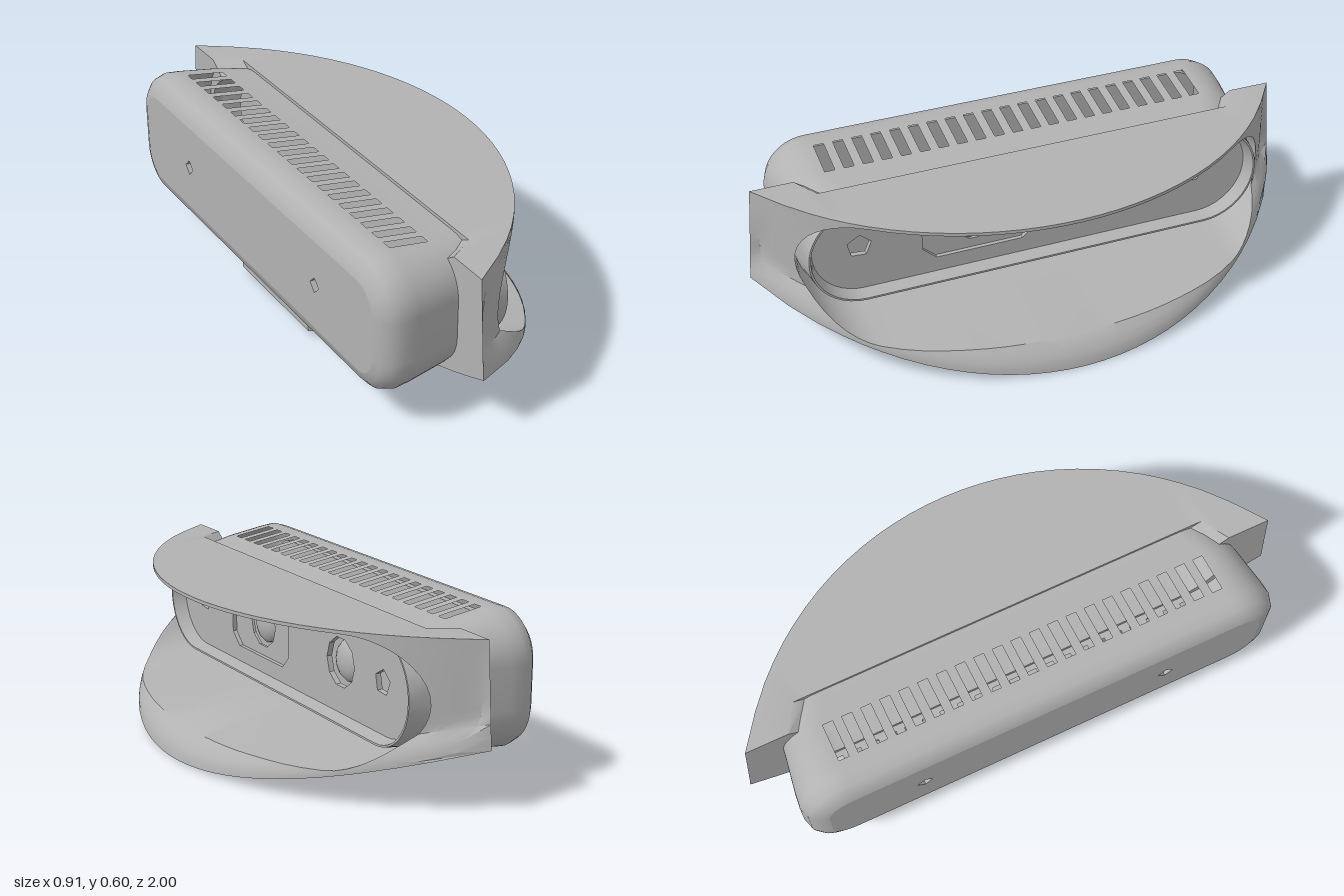
import * as THREE from 'three';
import { toCreasedNormals } from 'three/addons/utils/BufferGeometryUtils.js';

const grey = new THREE.MeshStandardMaterial({ color: 0xb2b2b2, side: THREE.DoubleSide });
grey.name = 'grey plastic';

const CY = 0.355;   // height of the camera axis

function add(group, name, geometry) {
  const mesh = new THREE.Mesh(geometry, grey);
  mesh.name = name;
  group.add(mesh);
  return mesh;
}

// Joins rings of [x, y, z] points into a skin; skip(i, j) leaves openings
function loft(rings, closeEnds, skip = () => false) {
  const n = rings[0].length, index = [];
  const last = closeEnds ? rings.length : rings.length - 1;
  for (let i = 0; i < last; i++) {
    for (let j = 0; j < n; j++) {
      if (skip(i, j)) continue;
      const i2 = (i + 1) % rings.length, j2 = (j + 1) % n;
      const a = i * n + j, b = i * n + j2, c = i2 * n + j2, d = i2 * n + j;
      index.push(a, b, c, a, c, d);
    }
  }
  const g = new THREE.BufferGeometry();
  g.setAttribute('position', new THREE.Float32BufferAttribute(rings.flat(2), 3));
  g.setIndex(index);
  return toCreasedNormals(g, 0.6);
}

// Vent slot edges as fractions of the straight run
const SLOTS = 21, STRAIGHT = 0.715;
const edges = [-1];
for (let k = 0; k < SLOTS; k++) {
  const z = (k - (SLOTS - 1) / 2) * 0.0685;
  edges.push((z - 0.018) / STRAIGHT, (z + 0.018) / STRAIGHT);
}
edges.push(1);
const ARC = 10;

// Rounded loop of [z, y]: straight half length L, corner radius r, flat half height f
function loop(L, r, f) {
  const pts = edges.map(e => [e * L, CY - f - r]);
  const corner = (cz, cy, start) => {
    for (let k = 1; k <= ARC; k++) {
      const t = start + (k / ARC) * Math.PI / 2;
      pts.push([cz + r * Math.cos(t), cy + r * Math.sin(t)]);
    }
  };
  corner(L, CY - f, -Math.PI / 2);
  pts.push([L + r, CY + f + 0.0001]);
  corner(L, CY + f, 0);
  edges.slice(0, -1).forEach((_, k) => pts.push([edges[edges.length - 2 - k] * L, CY + f + r]));
  corner(-L, CY + f, Math.PI / 2);
  pts.push([-L - r, CY - f - 0.0001]);
  corner(-L, CY - f, Math.PI);
  pts.pop();
  return pts;
}

const toShape = pts => new THREE.Shape(pts.map(([z, y]) => new THREE.Vector2(-z, y)));
const toHole = pts => new THREE.Path(pts.map(([z, y]) => new THREE.Vector2(-z, y)));

// Regular polygon of [z, y]
function polygon(z, y, r, sides, turn = 0) {
  return Array.from({ length: sides }, (_, k) => {
    const t = turn + k / sides * Math.PI * 2;
    return [z + r * Math.cos(t), y + r * Math.sin(t)];
  });
}

// Plate facing +x, with its front at x
function plate(outline, holes, x, depth) {
  const shape = toShape(outline);
  holes.forEach(h => shape.holes.push(toHole(h)));
  return new THREE.ExtrudeGeometry(shape, { depth, bevelEnabled: false })
    .rotateY(Math.PI / 2).translate(x - depth, 0, 0);
}

// Hooded shroud: a D-shaped solid with a flaring tunnel through it
function shroudGeometry() {
  const bottom = z => 0.215 * z * z;
  const front = (z, y) => {
    const bevel = Math.min(1, Math.max(0, y - bottom(z)) / 0.1) ** 2;
    return Math.max(-0.17, Math.sqrt(Math.max(0, 1.243 - z * z)) - 0.66 - 0.07 * bevel);
  };
  const top = 0.567, cy = 0.3475, r = 0.2075, L = 0.66;
  const samples = [];               // [centre z, angle] around the tunnel
  for (let k = 0; k < 20; k++) samples.push([-L + 2 * L * k / 20, -Math.PI / 2]);
  for (let k = 0; k < 20; k++) samples.push([L, -Math.PI / 2 + Math.PI * k / 20]);
  for (let k = 0; k < 20; k++) samples.push([L - 2 * L * k / 20, Math.PI / 2]);
  for (let k = 0; k < 20; k++) samples.push([-L, Math.PI / 2 + Math.PI * k / 20]);
  const rings = samples.map(([cz, t]) => {
    const c = Math.cos(t), s = Math.sin(t), k = 1 / Math.max(Math.abs(c), Math.abs(s));
    const v = (s * k + 1) / 2;
    const zo = cz + c * k * (0.34 - 0.03 * v);
    const yo = bottom(zo) + (top - bottom(zo)) * v;
    const zi = cz + r * c, yi = cy + r * s;
    const drop = Math.max(0, front(zi, yi) - 0.03) * 0.125 * Math.max(0, -s);
    const yf = yi - drop;
    const xb = s > 0.95 ? -0.075 : -0.17;
    const ring = [[xb, yo, zo]];
    for (let m = 0; m <= 4; m++) {
      const u = m / 4, z = zo + (zi - zo) * u, y = yo + (yf - yo) * u;
      ring.push([Math.max(xb, front(z, y)), y, z]);
    }
    ring.push([Math.min(0.03, front(zi, yf)), yi, zi]);
    ring.push([xb, yi - (s < 0.95 ? 0.02 * s : 0), zi - 0.025 * c]);
    return ring;
  });
  return loft(rings, true);
}

export function createModel() {
  const model = new THREE.Group();
  model.name = 'hoodedCamera';

  add(model, 'shroud', shroudGeometry());

  // Housing skin with vent slots, front lip turned inward
  const stations = [
    [-0.455, STRAIGHT, 0.09, 0.075], [-0.445, STRAIGHT, 0.123, 0.075],
    [-0.42, STRAIGHT, 0.152, 0.075], [-0.38, STRAIGHT, 0.165, 0.075],
    [-0.33, STRAIGHT, 0.16, 0.075], [-0.19, STRAIGHT, 0.138, 0.075],
    [-0.075, 0.67, 0.17, 0.03], [0.03, 0.64, 0.195, 0],
    [0.03, 0.64, 0.188, 0], [-0.02, 0.635, 0.178, 0],
  ];
  const rings = stations.map(([x, L, r, f]) => loop(L, r, f).map(([z, y]) => [x, y, z]));
  const topStart = edges.length + 2 * ARC;
  const isSlot = (i, j) => {
    if (i !== 4) return false;
    const k = j < edges.length - 1 ? j : j - topStart;
    return k >= 0 && k < edges.length - 1 && k % 2 === 1;
  };
  add(model, 'housing', loft(rings, false, isSlot));

  // Back cover with two screw holes
  add(model, 'backCover', plate(loop(STRAIGHT, 0.09, 0.075),
    [-0.46, 0.45].map(z => polygon(z, CY, 0.028, 4)), -0.43, 0.025));

  // Face plate with its recesses
  const face = loop(0.635, 0.178, 0);
  const window = [[0.05, 0.235], [0.37, 0.235], [0.42, 0.28], [0.42, 0.42],
    [0.37, 0.468], [0.05, 0.468], [0.005, 0.42], [0.005, 0.28]];
  const lensA = polygon(0.215, CY, 0.088, 10), lensB = polygon(-0.345, CY, 0.088, 10);
  const sensors = [0.645, -0.605].map(z => polygon(z, CY, 0.045, 5, 0.4));
  add(model, 'facePlate', plate(face, [window, lensB, ...sensors], -0.02, 0.02));
  add(model, 'windowFloor', plate(window, [lensA], -0.035, 0.01));
  add(model, 'faceBacking', plate(face, [], -0.06, 0.006));

  // Lenses
  for (const z of [0.215, -0.345]) {
    const lens = add(model, 'lens', new THREE.SphereGeometry(0.075, 12, 5, 0, Math.PI * 2, 0, Math.PI / 2));
    lens.rotation.z = -Math.PI / 2;
    lens.scale.y = 0.5;
    lens.position.set(-0.06, CY, z);
  }

  // Mounting boss with a threaded hole underneath
  const boss = new THREE.Shape([[-0.365, -0.24], [-0.12, -0.38], [-0.12, 0.38], [-0.365, 0.24]]
    .map(([x, z]) => new THREE.Vector2(x, z)));
  boss.holes.push(new THREE.Path().absarc(-0.27, 0, 0.06, 0, Math.PI * 2, true));
  add(model, 'mountBoss', new THREE.ExtrudeGeometry(boss, { depth: 0.1, bevelEnabled: false, curveSegments: 6 })
    .rotateX(Math.PI / 2).translate(0, 0.125, 0));

  return model;
}
